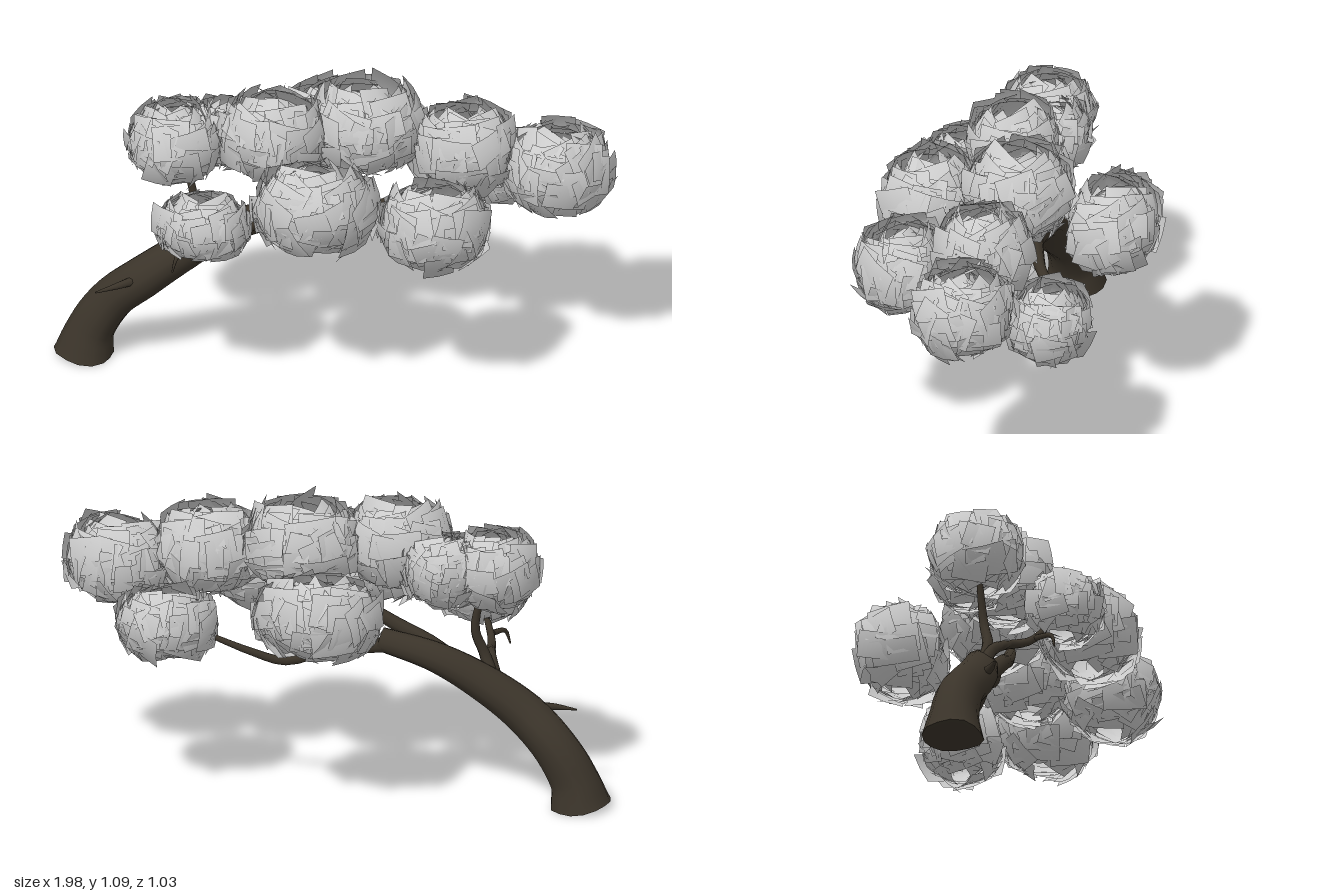
import * as THREE from 'three';
import { mergeGeometries } from 'three/addons/utils/BufferGeometryUtils.js';

const barkMaterial = new THREE.MeshStandardMaterial({ color: 0x3b342a });
const leafMaterial = new THREE.MeshStandardMaterial({ color: 0xcccccc, side: THREE.DoubleSide });

// Small seeded generator, returns -1..1
function seeded(seed) {
  let s = seed;
  return () => {
    s = (s * 16807) % 2147483647;
    return (s / 2147483647) * 2 - 1;
  };
}

// Swept limb: rings along a curve, with the radius read from a list, closed by end caps
function limb(name, points, radii, sides = 8, segments = 14, ripple = 0) {
  const curve = new THREE.CatmullRomCurve3(points.map((p) => new THREE.Vector3(...p)));
  const positions = [], index = [];
  const side = new THREE.Vector3(), up = new THREE.Vector3();
  const reference = new THREE.Vector3(0.13, 0.1, 1);
  if (Math.abs(curve.getTangent(0).z) > 0.6) reference.set(0.6, 1, 0.1);
  for (let i = 0; i <= segments; i++) {
    const t = i / segments;
    const centre = curve.getPoint(t), tangent = curve.getTangent(t);
    side.crossVectors(reference, tangent).normalize();
    up.crossVectors(tangent, side);
    const f = t * (radii.length - 1), k = Math.min(Math.floor(f), radii.length - 2);
    const radius = THREE.MathUtils.lerp(radii[k], radii[k + 1], f - k);
    for (let j = 0; j < sides; j++) {
      const a = (j / sides) * Math.PI * 2;
      const r = radius * (1 + ripple * Math.sin(a * 4 + t * 3));
      const p = centre.clone().addScaledVector(side, Math.cos(a) * r).addScaledVector(up, Math.sin(a) * r);
      positions.push(p.x, Math.max(p.y, 0), p.z);
      if (i < segments) {
        const q = i * sides + j, n = i * sides + ((j + 1) % sides);
        index.push(q, n, q + sides, n, n + sides, q + sides);
      }
    }
  }
  // Caps use their own copies of the end rings so the rims stay sharp
  for (const [row, t] of [[0, 0], [segments, 1]]) {
    const start = positions.length / 3, c = start + sides;
    for (let j = 0; j < sides; j++) {
      const q = (row * sides + j) * 3;
      positions.push(positions[q], positions[q + 1], positions[q + 2]);
      const a = start + j, b = start + ((j + 1) % sides);
      index.push(...(t === 0 ? [b, a, c] : [a, b, c]));
    }
    positions.push(...curve.getPoint(t).toArray());
  }
  const geometry = new THREE.BufferGeometry();
  geometry.setAttribute('position', new THREE.Float32BufferAttribute(positions, 3));
  geometry.setIndex(index);
  geometry.computeVertexNormals();
  const mesh = new THREE.Mesh(geometry, barkMaterial);
  mesh.name = name;
  return mesh;
}

// Rosette of overlapping leaf cards: a full rounded bowl below, open upright petals above
function leafClump([x, y, z, rx, ry, rz], number) {
  const random = seeded(911 + number * 7717);
  const cards = [], count = 130, size = (rx + rz) * 0.5;
  const dummy = new THREE.Object3D();
  for (let i = 0; i < count; i++) {
    const v = 0.98 - (1.9 * i) / count;
    const ring = (1 - Math.abs(v) ** 2.4) ** (1 / 2.4), angle = i * 2.39996 + random() * 0.25;
    const direction = new THREE.Vector3(Math.cos(angle) * ring, v, Math.sin(angle) * ring);
    const card = new THREE.PlaneGeometry(size * (0.8 + random() * 0.18), size * (0.62 + random() * 0.16), 2, 2);
    const p = card.attributes.position;
    for (let k = 0; k < p.count; k++) {
      p.setZ(k, -(p.getX(k) ** 2 + p.getY(k) ** 2) / (4 * size));
    }
    // Petals near the top stand upright and sit deeper
    const rise = Math.max(v, 0);
    const depth = 0.94 + random() * 0.09;
    dummy.position.set(direction.x * rx, direction.y * ry * (1 - 0.28 * rise), direction.z * rz).multiplyScalar(depth);
    const facing = direction.clone();
    facing.y *= v > 0 ? 0.4 : 0.9;
    facing.x += random() * 0.25;
    facing.y += random() * 0.2;
    facing.z += random() * 0.25;
    dummy.lookAt(dummy.position.clone().add(facing));
    dummy.rotateZ(random() * 0.4);
    dummy.updateMatrix();
    card.applyMatrix4(dummy.matrix);
    // Rounded shading across the whole clump
    const n = card.attributes.normal, w = new THREE.Vector3(), own = new THREE.Vector3();
    for (let k = 0; k < p.count; k++) {
      own.fromBufferAttribute(n, k);
      w.set(p.getX(k) / rx, p.getY(k) / ry, p.getZ(k) / rz).normalize().lerp(own, 0.4).normalize();
      n.setXYZ(k, w.x, w.y, w.z);
    }
    cards.push(card);
  }
  const mesh = new THREE.Mesh(mergeGeometries(cards), leafMaterial);
  mesh.name = `leafClump${number + 1}`;
  mesh.position.set(x, y, z);
  return mesh;
}

export function createModel() {
  const tree = new THREE.Group();
  tree.name = 'leaningTree';

  // Leaning trunk with a flared foot and a blunt end
  tree.add(limb('trunk', [
    [-0.89, 0, 0], [-0.865, 0.1, 0], [-0.79, 0.22, 0.005], [-0.68, 0.32, 0.03],
    [-0.54, 0.42, 0.02], [-0.37, 0.515, -0.01], [-0.17, 0.57, -0.02],
  ], [0.108, 0.084, 0.078, 0.076, 0.068, 0.056, 0.044], 14, 28, 0.04));

  // Branches and twigs: name, path, radii
  const branches = [
    ['rearBranch', [[-0.22, 0.555, -0.02], [0, 0.54, -0.1], [0.13, 0.52, -0.19], [0.25, 0.56, -0.23], [0.45, 0.64, -0.26]], [0.03, 0.02, 0.017, 0.014, 0.008]],
    ['upperBranch', [[-0.5, 0.42, 0.04], [-0.35, 0.53, 0.06], [-0.2, 0.61, 0.05], [-0.04, 0.71, 0.03], [0.12, 0.82, 0]], [0.035, 0.03, 0.026, 0.02, 0.01]],
    ['sideBranch', [[-0.58, 0.41, 0.04], [-0.545, 0.5, 0.08], [-0.515, 0.53, 0.2], [-0.46, 0.64, 0.28]], [0.024, 0.02, 0.014, 0.009]],
    ['endBranch', [[-0.57, 0.41, 0.03], [-0.53, 0.52, 0.05], [-0.5, 0.62, 0.03], [-0.54, 0.8, 0.02]], [0.028, 0.02, 0.016, 0.01]],
    ['forkTwig', [[-0.515, 0.54, 0.22], [-0.545, 0.53, 0.28], [-0.56, 0.48, 0.295]], [0.011, 0.008, 0.003]],
    ['lowTwig', [[-0.7, 0.33, 0.07], [-0.76, 0.325, 0.11], [-0.84, 0.31, 0.14]], [0.018, 0.013, 0.003]],
  ];
  for (const [name, path, radii] of branches) tree.add(limb(name, path, radii));

  // Leaf clumps: centre x, y, z and radii
  const clumps = [
    [-0.565, 0.86, 0.015, 0.165, 0.13, 0.155],
    [-0.41, 0.86, -0.05, 0.15, 0.125, 0.11],
    [-0.22, 0.91, 0.05, 0.185, 0.15, 0.16],
    [0.1, 0.91, -0.045, 0.2, 0.15, 0.18],
    [0.45, 0.855, -0.005, 0.18, 0.15, 0.165],
    [0.77, 0.785, -0.01, 0.195, 0.145, 0.165],
    [-0.45, 0.675, 0.31, 0.165, 0.105, 0.125],
    [-0.06, 0.76, 0.315, 0.215, 0.145, 0.16],
    [0.36, 0.705, 0.31, 0.19, 0.15, 0.155],
    [-0.035, 0.75, -0.355, 0.22, 0.14, 0.145],
    [0.54, 0.655, -0.265, 0.18, 0.115, 0.13],
  ];
  const foliage = new THREE.Group();
  foliage.name = 'foliage';
  clumps.forEach((clump, i) => foliage.add(leafClump(clump, i)));
  tree.add(foliage);
  return tree;
}
